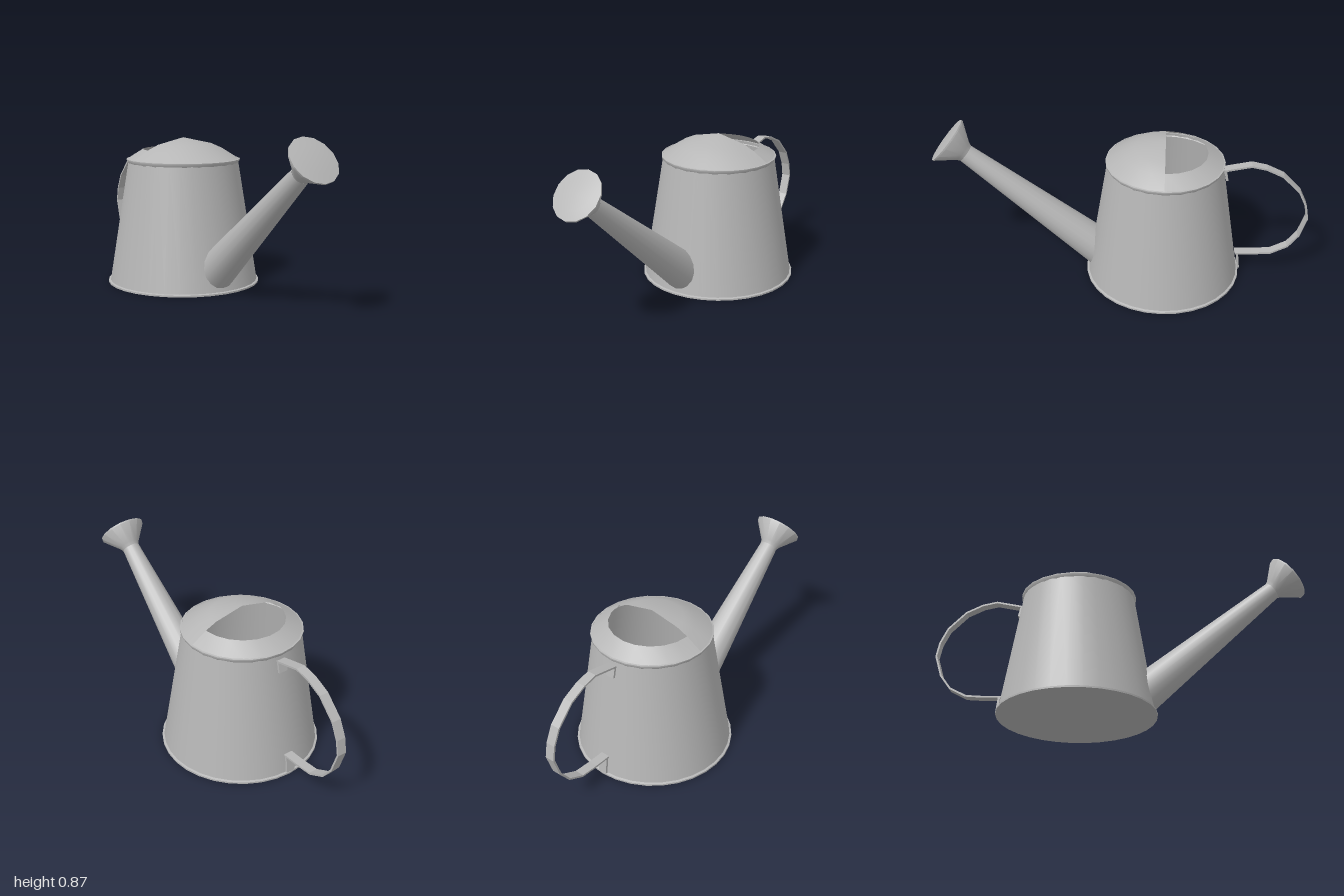
import * as THREE from 'three';
import { toCreasedNormals } from 'three/addons/utils/BufferGeometryUtils.js';

const CZ = -0.23; // z of the can's axis
const TILT = Math.atan2(0.658, 0.547); // lean of the spout from vertical
const wallRadius = (y) => 0.41 - (0.108 * y) / 0.68;

export function createModel() {
  const group = new THREE.Group();
  const metal = new THREE.MeshStandardMaterial({ color: 0xb6b6b6, side: THREE.DoubleSide });
  metal.name = 'grey metal';

  const add = (name, geometry, x = 0, y = 0, z = 0) => {
    const mesh = new THREE.Mesh(geometry, metal);
    mesh.name = name;
    mesh.position.set(x, y, z);
    group.add(mesh);
    return mesh;
  };
  const lathe = (points, segments, start = 0, length = Math.PI * 2, crease = 0.7) =>
    toCreasedNormals(
      new THREE.LatheGeometry(points.map(([r, y]) => new THREE.Vector2(r, y)), segments, start, length),
      crease
    );

  // Tapered can with its floor and two thin lips
  add('body', lathe([[0.41, 0.008], [wallRadius(0.68), 0.68]], 32), 0, 0, CZ);
  add('floor', new THREE.CircleGeometry(0.42, 32).rotateX(Math.PI / 2), 0, 0, CZ);
  add('bottomLip', lathe([[0.42, 0], [0.42, 0.009], [0.408, 0.013]], 32), 0, 0, CZ);
  add('topLip', lathe([[0.302, 0.66], [0.313, 0.676], [0.313, 0.684], [0.305, 0.686]], 24), 0, 0, CZ);

  // Domed cover: full in front, only a low collar behind, leaving the filling hole
  const collar = [[0.308, 0.683], [0.222, 0.737]];
  add('coverFront', lathe([...collar, [0.16, 0.765], [0.0, 0.8]], 10, -Math.PI / 2, Math.PI), 0, 0, CZ);
  add('coverBack', lathe(collar, 10, Math.PI / 2, Math.PI), 0, 0, CZ);

  // Spout: tapered tube whose lower ring slides along its axis onto the can wall
  const length = Math.hypot(0.658, 0.547);
  const spout = new THREE.CylinderGeometry(0.049, 0.1, length, 16, 1, true);
  spout.translate(0, length / 2, 0).rotateX(TILT).translate(0, 0.148, 0.16);
  const axis = new THREE.Vector3(0, Math.cos(TILT), Math.sin(TILT));
  const p = spout.attributes.position;
  const v = new THREE.Vector3();
  for (let i = 0; i < p.count; i++) {
    v.fromBufferAttribute(p, i);
    if (v.y > 0.5) continue;
    for (let k = 0; k < 25; k++) {
      const gap = Math.hypot(v.x, v.z - CZ) - wallRadius(v.y) + 0.003;
      v.addScaledVector(axis, -gap);
    }
    p.setXYZ(i, v.x, v.y, v.z);
  }
  add('spout', spout);

  // Flared sprinkler head with a slightly domed face
  const rose = lathe([[0.049, 0], [0.058, 0.02], [0.13, 0.112], [0.13, 0.12], [0.08, 0.126], [0, 0.129]], 14);
  add('sprinklerHead', rose, 0, 0.695, 0.818).rotation.x = TILT;

  // Strap handle: a path (distance behind the centre, height) thickened and extruded sideways
  const strap = (name, path, thickness) => {
    const pts = path.map(([x, y]) => new THREE.Vector2(x, y));
    const inner = pts.map((pt, i) => {
      const a = pts[Math.max(i - 1, 0)];
      const b = pts[Math.min(i + 1, pts.length - 1)];
      const d = b.clone().sub(a).normalize();
      return new THREE.Vector2(pt.x + d.y * thickness, pt.y - d.x * thickness);
    });
    const shape = new THREE.Shape([...pts, ...inner.reverse()]);
    const geo = new THREE.ExtrudeGeometry(shape, { depth: 0.05, bevelEnabled: false });
    geo.translate(0, 0, -0.027).rotateY(Math.PI / 2);
    add(name, geo);
  };
  strap('handle', [
    [0.535, 0.645], [0.6, 0.66], [0.68, 0.678], [0.76, 0.662], [0.85, 0.62], [0.945, 0.525],
    [0.985, 0.44], [1.0, 0.36], [0.965, 0.245], [0.91, 0.17], [0.82, 0.122], [0.72, 0.113], [0.625, 0.11],
  ], -0.01 * -1);

  // Fixing tabs where the strap meets the can
  strap('upperTab', [[0.548, 0.645], [0.562, 0.585]], 0.012);
  strap('lowerTab', [[0.645, 0.115], [0.656, 0.02]], 0.012);

  return group;
}
